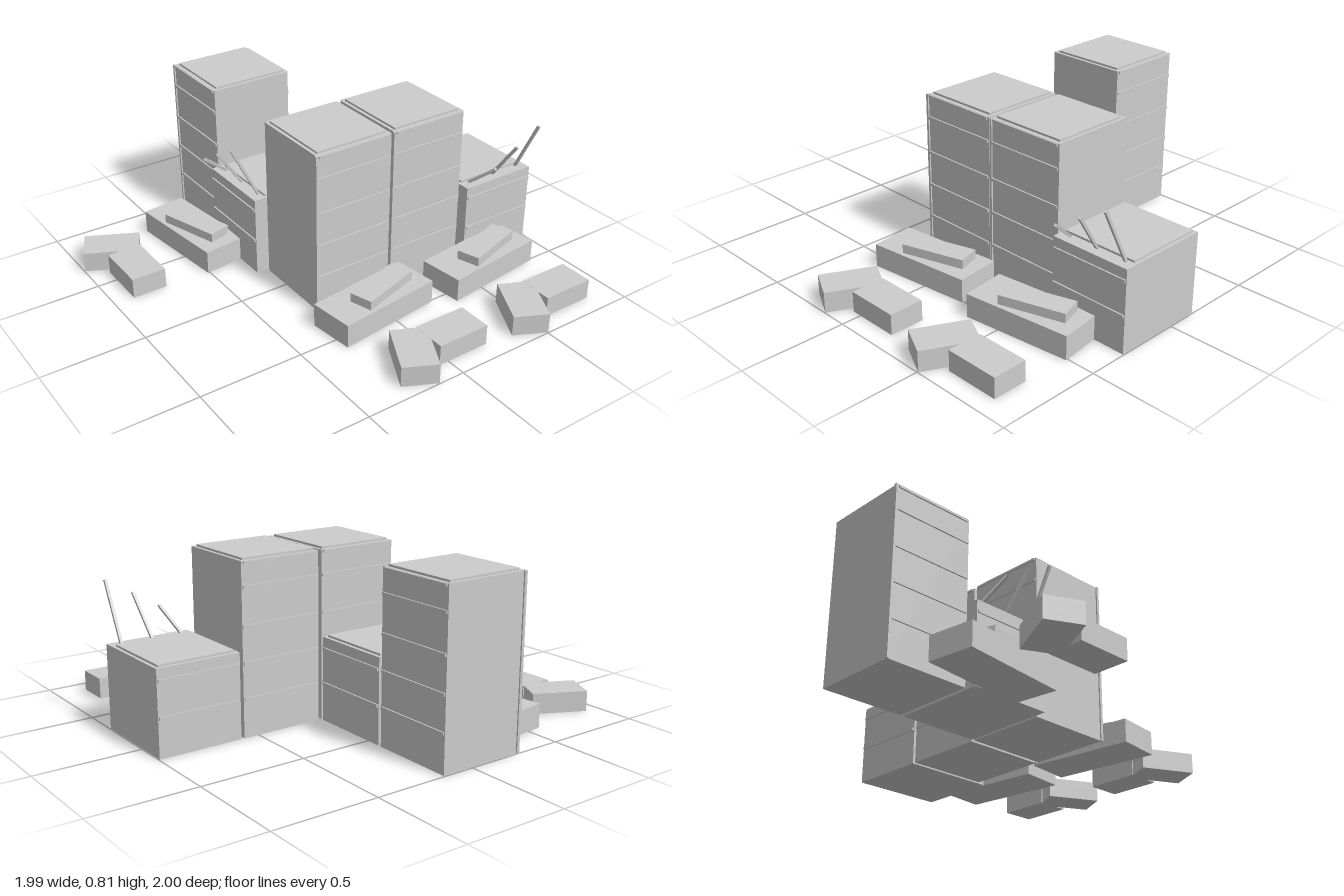
import * as THREE from 'three';

const concrete = new THREE.MeshStandardMaterial({ color: 0xcccccc });
concrete.name = 'concrete grey';

// Box given by its centre on the ground plane, its bottom and its turn about y
function block(parent, name, [w, h, d], x, bottom, z, degrees = 0) {
  const mesh = new THREE.Mesh(new THREE.BoxGeometry(w, h, d), concrete);
  mesh.name = name;
  mesh.position.set(x, bottom + h / 2, z);
  mesh.rotation.y = THREE.MathUtils.degToRad(degrees);
  parent.add(mesh);
}

const WIDTH = 0.405, BACK = -0.153, FRONT = 0.267;

// One building section with floor ledges on front and back and a thin roof slab
function section(name, x, height, front) {
  const group = new THREE.Group();
  group.name = name;
  block(group, 'walls', [WIDTH, height, front - BACK], x, 0, (front + BACK) / 2);
  block(group, 'roofSlab', [0.375, 0.01, 0.385], x, height, 0.056);
  for (const y of [0.18, 0.345, 0.51, 0.685]) {
    if (y > height) continue;
    for (const z of [front, BACK]) block(group, 'floorLedge', [WIDTH - 0.01, 0.014, 0.014], x, y - 0.007, z);
  }
  return group;
}

function tallSection(x) {
  const group = section('tallSection', x, 0.8, FRONT);
  block(group, 'cornerStrip', [0.012, 0.8, 0.014], x - WIDTH / 2 - 0.001, 0, FRONT);
  for (const z of [FRONT, BACK]) block(group, 'roofLedge', [WIDTH - 0.02, 0.012, 0.014], x, 0.787, z);
  return group;
}

// Collapsed section with bent reinforcing rods sticking out of its top
function brokenSection(x) {
  const group = section('brokenSection', x, 0.4, 0.312);
  for (const [from, to, top] of [[-0.15, -0.11, 0.515], [0, 0.02, 0.595], [0.153, 0.153, 0.67]]) {
    const a = new THREE.Vector3(x + from, 0.4, 0.262);
    const b = new THREE.Vector3(x + to, top, 0.398);
    const dir = b.clone().sub(a);
    const rod = new THREE.Mesh(new THREE.BoxGeometry(0.013, dir.length(), 0.013), concrete);
    rod.name = 'reinforcingRod';
    rod.position.copy(a).add(b).multiplyScalar(0.5);
    rod.quaternion.setFromUnitVectors(new THREE.Vector3(0, 1, 0), dir.normalize());
    group.add(rod);
  }
  return group;
}

// Fallen slab with a smaller piece on it, and an angled chunk further out
function rubble(x) {
  const group = new THREE.Group();
  group.name = 'rubble';
  block(group, 'fallenSlab', [0.534, 0.115, 0.224], x - 0.052, 0, 0.431, 7);
  block(group, 'smallSlab', [0.32, 0.045, 0.116], x - 0.014, 0.115, 0.434, 17.3);
  block(group, 'straightChunk', [0.265, 0.1, 0.17], x + 0.082, 0, 0.817);
  block(group, 'tiltedChunk', [0.268, 0.0995, 0.168], x - 0.145, 0, 0.84, 63.4);
  return group;
}

export function createModel() {
  const model = new THREE.Group();
  model.name = 'ruinedBuilding';

  // Wing along the front
  const frontWing = new THREE.Group();
  frontWing.name = 'frontWing';
  frontWing.add(tallSection(-0.05), tallSection(0.372), brokenSection(0.793), rubble(0.002), rubble(0.634));

  // Wing running back, with its front facing -x
  const sideWing = new THREE.Group();
  sideWing.name = 'sideWing';
  sideWing.rotation.y = -Math.PI / 2;
  sideWing.add(tallSection(-0.791), brokenSection(-0.369), rubble(-0.528));

  model.add(frontWing, sideWing);
  return model;
}
